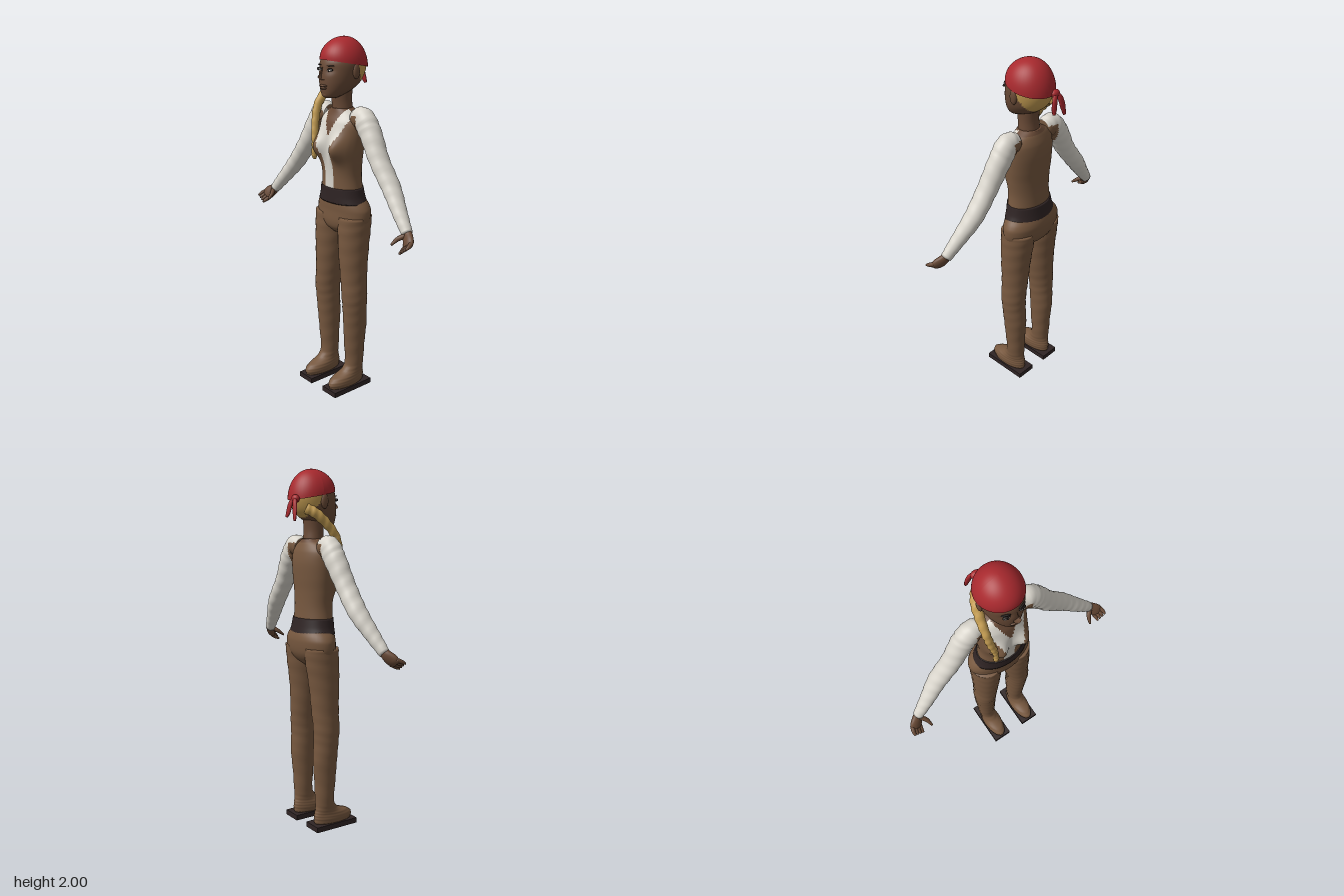
import * as THREE from 'three';

const mat = (name, color, side = THREE.FrontSide) => {
  const m = new THREE.MeshStandardMaterial({ color, side });
  m.name = name;
  return m;
};
const V = (x, y, z) => new THREE.Vector3(x, y, z);

// Smooth skin through rings [x, y, z, radiusAcross, radiusDeep].
// flat keeps the rings level; pick(point) gives the material index; bend moves points.
function loft(name, rings, mats, { flat = false, steps = 6, sides = 28, ripple = 0, pick = () => 0, bend } = {}) {
  const path = new THREE.CatmullRomCurve3(rings.map(r => V(r[0], r[1], r[2])));
  const radii = new THREE.CatmullRomCurve3(rings.map(r => V(r[3], r[4], 0)), false, 'catmullrom', 0.5);
  const n = (rings.length - 1) * steps, pts = [];
  for (let i = -1; i <= n + 1; i++) {
    const t = Math.min(Math.max(i / n, 0), 1), c = path.getPoint(t), r = radii.getPoint(t);
    const along = flat ? V(0, 1, 0) : path.getTangent(t);
    const across = along.clone().cross(V(0, 0, 1)).normalize();
    const deep = across.clone().cross(along);
    const cap = i < 0 || i > n ? 0 : 1;
    for (let j = 0; j < sides; j++) {
      const a = j / sides * Math.PI * 2;
      const k = cap * (1 + ripple * Math.sin(i * 1.5 + 2 * Math.sin(a)));
      const p = c.clone().addScaledVector(across, Math.cos(a) * r.x * k).addScaledVector(deep, Math.sin(a) * r.y * k);
      if (bend && cap) bend(p);
      pts.push(p);
    }
  }
  const list = [].concat(mats), faces = list.map(() => []);
  for (let i = 0; i < n + 2; i++) for (let j = 0; j < sides; j++) {
    const a = i * sides + j, b = i * sides + (j + 1) % sides, c = a + sides, d = b + sides;
    const mid = pts[a].clone().add(pts[b]).add(pts[c]).add(pts[d]).multiplyScalar(0.25);
    faces[pick(mid)].push(a, c, b, b, c, d);
  }
  const g = new THREE.BufferGeometry().setFromPoints(pts);
  g.setIndex(faces.flat());
  let start = 0;
  faces.forEach((f, i) => { g.addGroup(start, f.length, i); start += f.length; });
  g.computeVertexNormals();
  const mesh = new THREE.Mesh(g, list.length > 1 ? list : list[0]);
  mesh.name = name;
  return mesh;
}

// Level rings written as [y, x, back z, front z, half width]
const level = rows => rows.map(([y, x, b, f, w]) => [x, y, (b + f) / 2, w, (f - b) / 2]);

function blob(name, m, [x, y, z], [sx, sy, sz]) {
  const mesh = new THREE.Mesh(new THREE.SphereGeometry(1, 20, 14), m);
  mesh.name = name;
  mesh.position.set(x, y, z);
  mesh.scale.set(sx, sy, sz);
  return mesh;
}

export function createModel() {
  const skin = mat('skin', 0x694a36), cloth = mat('brown cloth', 0x77583f);
  const shirt = mat('white shirt', 0xd9d5cc), sashMat = mat('dark sash', 0x2f2424);
  const red = mat('red scarf', 0xa8292e, THREE.DoubleSide), hair = mat('blonde hair', 0xc39c52);
  const dark = mat('eye dark', 0x1c1614);
  const root = new THREE.Group();
  root.name = 'woman';
  const add = (...m) => root.add(...m);

  // Vest opening widens above the bust
  const opening = y => y < 1.38 ? 0.036 : 0.036 + (y - 1.38) * 0.37;

  // Torso: vest, shirt front and bare neckline
  add(loft('torso', level([
    [1.17, 0, -0.105, 0.085, 0.137], [1.26, 0, -0.1, 0.085, 0.127], [1.35, 0, -0.1, 0.09, 0.135],
    [1.42, 0, -0.105, 0.088, 0.143], [1.5, 0, -0.108, 0.088, 0.148], [1.56, 0, -0.1, 0.075, 0.143],
    [1.6, 0, -0.085, 0.055, 0.11], [1.63, 0, -0.07, 0.045, 0.06]]), [cloth, shirt, skin], {
    flat: true, steps: 9, sides: 96,
    bend: p => {
      if (p.z > 0) p.z += 0.06 * Math.min(1, p.z / 0.04)
        * Math.exp(-(((Math.abs(p.x) - 0.075) / 0.05) ** 2) - (((p.y - 1.42) / 0.065) ** 2));
    },
    pick: p => {
      const x = Math.abs(p.x);
      if (p.z < 0) return p.y > 1.61 ? 2 : 0;
      if (p.y > 1.485 && x < (p.y - 1.485) * 0.46) return 2;
      return x < opening(p.y) ? 1 : 0;
    },
  }));

  // Waist sash
  add(loft('sash', level([[1.115, 0, -0.122, 0.09, 0.163], [1.15, 0, -0.116, 0.09, 0.148],
    [1.2, 0, -0.109, 0.09, 0.137]]), sashMat, { flat: true, sides: 48 }));

  // Hips
  add(loft('hips', level([[0.935, 0, -0.06, 0.04, 0.05], [0.97, 0, -0.1, 0.07, 0.14], [1.01, 0, -0.122, 0.08, 0.183],
    [1.07, 0, -0.13, 0.08, 0.19], [1.1, 0, -0.127, 0.082, 0.178], [1.13, 0, -0.118, 0.083, 0.155]]),
  cloth, { flat: true, sides: 40 }));

  for (const s of [1, -1]) {
    const side = s > 0 ? 'left' : 'right';
    // Trouser leg running down into the shoe
    add(loft(side + 'Leg', level([
      [0.03, s * 0.108, -0.068, 0.172, 0.05], [0.06, s * 0.108, -0.07, 0.178, 0.055], [0.085, s * 0.108, -0.068, 0.15, 0.052],
      [0.11, s * 0.11, -0.062, 0.085, 0.048], [0.15, s * 0.111, -0.06, 0.052, 0.05], [0.27, s * 0.113, -0.066, 0.055, 0.056],
      [0.4, s * 0.116, -0.077, 0.064, 0.062], [0.5, s * 0.118, -0.073, 0.07, 0.066], [0.58, s * 0.118, -0.075, 0.076, 0.069],
      [0.68, s * 0.109, -0.08, 0.076, 0.073], [0.82, s * 0.102, -0.09, 0.08, 0.082], [0.95, s * 0.097, -0.108, 0.082, 0.088],
      [1.04, s * 0.097, -0.118, 0.078, 0.088]]), cloth, { flat: true, ripple: 0.012 }));
    const sole = new THREE.Mesh(new THREE.BoxGeometry(0.113, 0.03, 0.273), sashMat);
    sole.name = side + 'Sole';
    sole.position.set(s * 0.108, 0.015, 0.047);
    add(sole);

    // Sleeve, with the vest armhole on its inner end
    add(loft(side + 'Sleeve', [
      [s * 0.105, 1.58, -0.015, 0.05, 0.045], [s * 0.16, 1.585, -0.015, 0.064, 0.056], [s * 0.215, 1.525, -0.015, 0.062, 0.058],
      [s * 0.3, 1.39, -0.005, 0.052, 0.055], [s * 0.4, 1.262, 0, 0.047, 0.052], [s * 0.49, 1.155, 0.025, 0.038, 0.04],
      [s * 0.565, 1.07, 0.045, 0.03, 0.028]], [shirt, cloth], {
      steps: 9, sides: 40, ripple: 0.025,
      pick: p => {
        const x = Math.abs(p.x);
        return x < 0.165 && p.y < 1.605 && (p.z < 0 || x > opening(p.y)) ? 1 : 0;
      },
    }));

    // Hand
    add(loft(side + 'Palm', [[s * 0.553, 1.085, 0.042, 0.024, 0.02], [s * 0.575, 1.06, 0.052, 0.033, 0.022],
      [s * 0.598, 1.037, 0.07, 0.038, 0.021], [s * 0.61, 1.02, 0.085, 0.032, 0.015]], skin));
    for (let k = 0; k < 4; k++) {
      add(loft(side + 'Finger' + (k + 1), [[s * (0.583 + 0.013 * k), 1.015 + 0.01 * k, 0.072, 0.012, 0.012],
        [s * (0.588 + 0.015 * k), 1 + 0.011 * k, 0.1, 0.011, 0.011],
        [s * (0.589 + 0.015 * k), 0.989 + 0.011 * k, 0.122, 0.006, 0.006]], skin, { sides: 10, steps: 4 }));
    }
    add(loft(side + 'Thumb', [[s * 0.565, 1.065, 0.06, 0.014, 0.014], [s * 0.54, 1.045, 0.09, 0.012, 0.012],
      [s * 0.53, 1.02, 0.122, 0.006, 0.006]], skin, { sides: 10, steps: 4 }));

    // Ear, eye and brow
    add(blob(side + 'Ear', skin, [s * 0.112, 1.828, -0.01], [0.013, 0.04, 0.022]));
    add(blob(side + 'EyeLine', dark, [s * 0.043, 1.838, 0.109], [0.021, 0.008, 0.009]));
    add(blob(side + 'Eye', shirt, [s * 0.043, 1.835, 0.112], [0.018, 0.006, 0.008]));
    add(blob(side + 'Pupil', dark, [s * 0.042, 1.835, 0.117], [0.006, 0.006, 0.005]));
    const brow = blob(side + 'Brow', dark, [s * 0.045, 1.858, 0.107], [0.024, 0.003, 0.006]);
    brow.rotation.y = s * 0.35;
    add(brow);
  }

  // Neck and head, hair painted on the nape
  add(loft('neck', level([[1.56, 0, -0.07, 0.05, 0.065], [1.62, 0, -0.065, 0.045, 0.06], [1.68, 0, -0.06, 0.048, 0.056],
    [1.77, 0, -0.07, 0.06, 0.06]]), skin, { flat: true }));
  add(loft('head', level([
    [1.688, 0, 0.03, 0.1, 0.028], [1.7, 0, 0, 0.116, 0.05], [1.73, 0, -0.065, 0.122, 0.078], [1.77, 0, -0.115, 0.124, 0.099],
    [1.82, 0, -0.14, 0.121, 0.111], [1.87, 0, -0.145, 0.112, 0.115], [1.91, 0, -0.135, 0.09, 0.105]]), [skin, hair], {
    flat: true, sides: 64,
    bend: p => {
      // Eye sockets
      if (p.z > 0) p.z -= 0.008 * Math.exp(-(((Math.abs(p.x) - 0.042) / 0.025) ** 2) - (((p.y - 1.835) / 0.02) ** 2));
    },
    pick: p => p.y > 1.742 && p.z < -0.03 - (1.83 - p.y) * 0.6 ? 1 : 0,
  }));
  add(loft('nose', [[0, 1.85, 0.113, 0.009, 0.01], [0, 1.82, 0.125, 0.012, 0.014], [0, 1.798, 0.134, 0.019, 0.018],
    [0, 1.786, 0.125, 0.015, 0.012]], skin, { flat: true, sides: 16 }));
  add(blob('upperLip', skin, [0, 1.754, 0.122], [0.03, 0.007, 0.011]));
  add(blob('lowerLip', skin, [0, 1.741, 0.12], [0.025, 0.007, 0.012]));
  add(blob('chin', skin, [0, 1.708, 0.104], [0.026, 0.017, 0.016]));

  // Head scarf, its rim lower at the back
  const cap = new THREE.SphereGeometry(1, 40, 20, 0, Math.PI * 2, 0, Math.PI / 2);
  cap.scale(0.122, 0.14, 0.132);
  const pos = cap.attributes.position;
  for (let i = 0; i < pos.count; i++) {
    const y = pos.getY(i);
    pos.setY(i, y + 0.19 * pos.getZ(i) * (1 - y / 0.14));
  }
  cap.computeVertexNormals();
  const scarf = new THREE.Mesh(cap, red);
  scarf.name = 'headScarf';
  scarf.position.set(0, 1.86, -0.02);
  add(scarf);
  add(blob('scarfKnot', red, [-0.04, 1.84, -0.148], [0.028, 0.022, 0.02]));
  for (const s of [1, -1]) {
    add(loft('scarfTail', [[-0.04, 1.845, -0.15, 0.013, 0.011], [-0.04 + s * 0.02, 1.815, -0.165, 0.016, 0.01],
      [-0.04 + s * 0.032, 1.77, -0.172, 0.017, 0.009], [-0.04 + s * 0.04, 1.735 + s * 0.01, -0.178, 0.009, 0.006]],
    red, { sides: 14 }));
  }

  // Braid over the right shoulder
  add(loft('braid', [[-0.07, 1.79, -0.1, 0.028, 0.028], [-0.1, 1.765, -0.06, 0.028, 0.028], [-0.118, 1.71, 0, 0.025, 0.025],
    [-0.124, 1.64, 0.055, 0.022, 0.024], [-0.118, 1.56, 0.08, 0.021, 0.022], [-0.106, 1.48, 0.095, 0.018, 0.02],
    [-0.1, 1.42, 0.105, 0.013, 0.015], [-0.1, 1.37, 0.105, 0.015, 0.016], [-0.103, 1.345, 0.1, 0.008, 0.01]],
  hair, { sides: 18, steps: 7, ripple: 0.07 }));

  return root;
}
